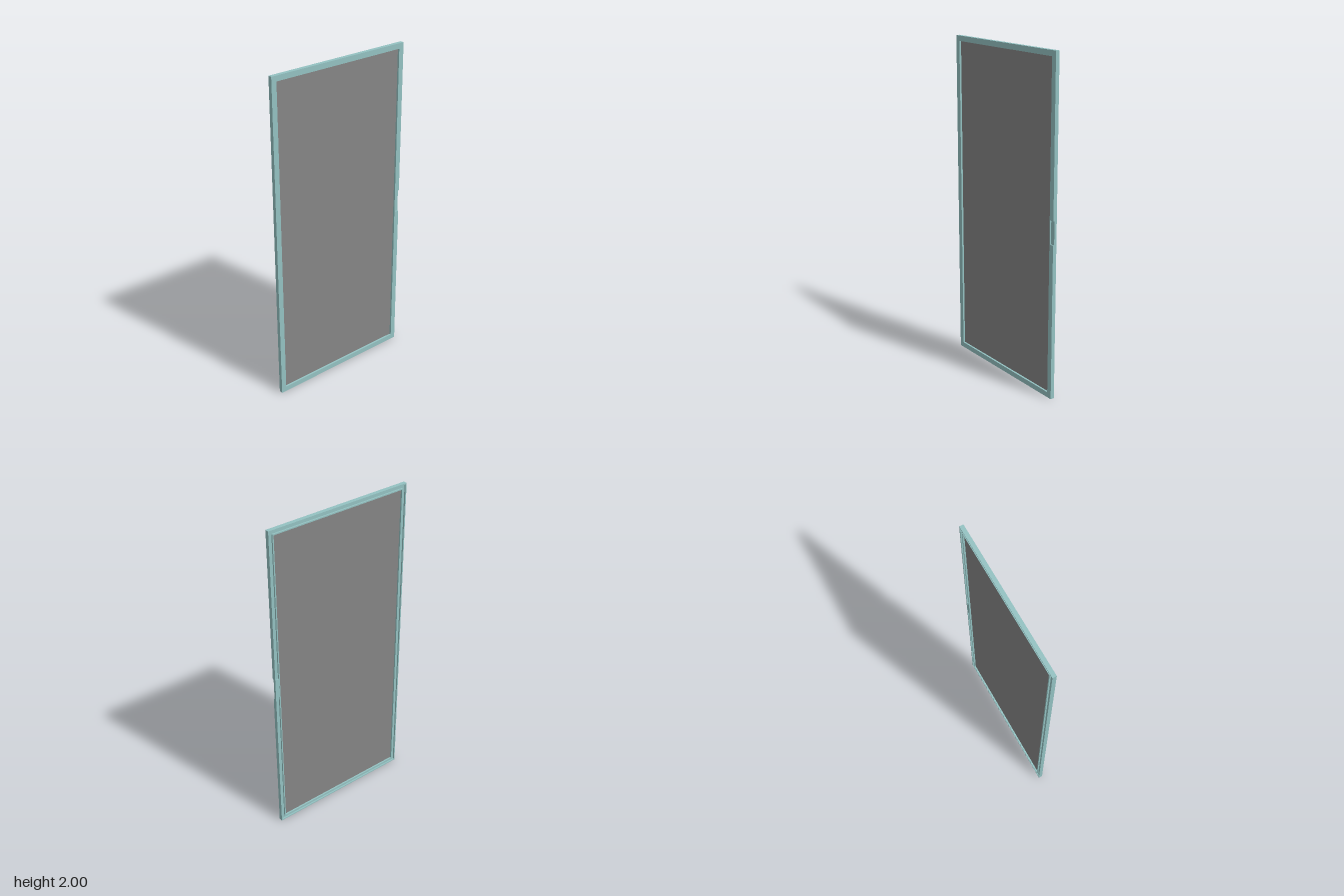
import * as THREE from 'three';

const W = 0.463, H = 2, T = 0.012;      // half width, height, half depth
const RAIL = 0.032, LIP = 0.007;        // frame width, rim width
const GRIP = [0.936, 1.075];            // bottom and top of the finger pull

// Rectangle inset from the door outline; optionally notched on its left edge
function outline(inset, notch, C = THREE.Shape) {
  const x = W - inset, pts = [[-x, inset], [x, inset]];
  if (notch) {
    const n = W - RAIL + 0.004;
    pts.push([x, GRIP[0]], [n, GRIP[0]], [n, GRIP[1]], [x, GRIP[1]]);
  }
  pts.push([x, H - inset], [-x, H - inset]);
  return new C(pts.map(p => new THREE.Vector2(...p)));
}

export function createModel() {
  const group = new THREE.Group();
  const frameMat = new THREE.MeshStandardMaterial({ color: 0x94c2c2 });
  const panelMat = new THREE.MeshStandardMaterial({ color: 0x858585 });

  const add = (name, geometry, material) => {
    const mesh = new THREE.Mesh(geometry, material);
    mesh.name = name;
    group.add(mesh);
    return mesh;
  };

  // Rectangular ring between two insets, from z0 to z1
  const ring = (name, outer, inner, z0, z1, notch = false) => {
    const shape = outline(outer, notch);
    shape.holes.push(outline(inner, false, THREE.Path));
    const g = new THREE.ExtrudeGeometry(shape, { depth: z1 - z0, bevelEnabled: false });
    g.translate(0, 0, z0);
    add(name, g, frameMat);
  };

  // Frame: notched front face, solid web, and two back rims with a groove between
  ring('frameFront', 0, RAIL, 0.004, T, true);
  ring('frameWeb', 0, RAIL, -0.003, 0.004);
  ring('outerBackRim', 0, LIP, -T, -0.003);
  ring('innerBackRim', RAIL - LIP, RAIL, -T, -0.003);

  // Finger pull: block that closes the back groove behind the front notch
  const pull = add('fingerPull',
    new THREE.BoxGeometry(RAIL - 2 * LIP, GRIP[1] - GRIP[0], 0.008), frameMat);
  pull.position.set(W - RAIL / 2, (GRIP[0] + GRIP[1]) / 2, -0.007);

  // Thin infill panel, set back from both faces
  const panel = add('panel',
    new THREE.BoxGeometry(2 * (W - RAIL), H - 2 * RAIL, 0.003), panelMat);
  panel.position.set(0, H / 2, -0.001);

  return group;
}
